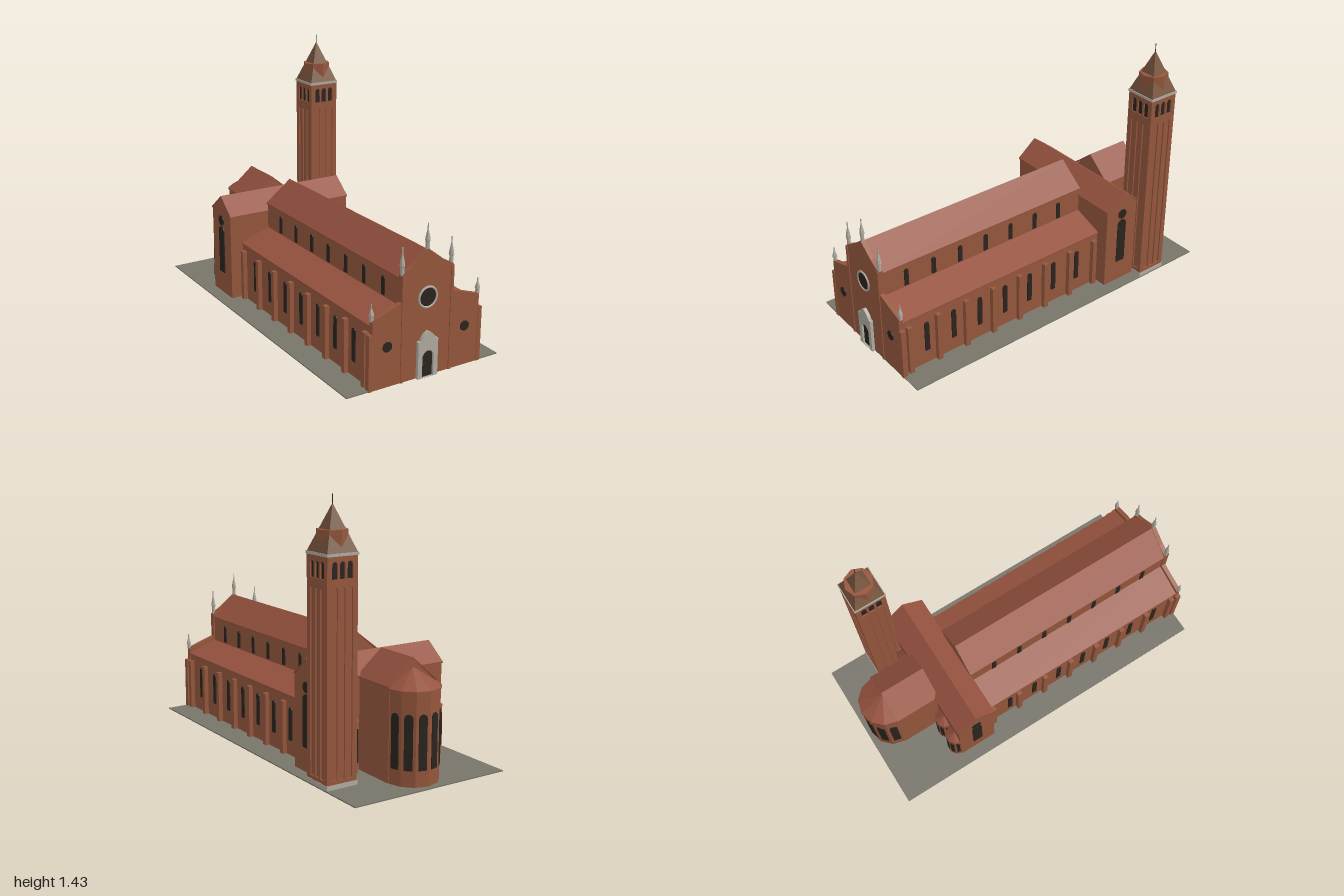
import * as THREE from 'three';

const mat = (color) => new THREE.MeshStandardMaterial({ color, flatShading: true, side: THREE.DoubleSide });

export function createModel() {
  const model = new THREE.Group();
  const brick = mat(0x96573d), roofTile = mat(0x96523f), dark = mat(0x2a241e);
  const stone = mat(0xb0aca2), paving = mat(0x77746a), spireTile = mat(0x79583f);

  const add = (name, geo, material, x = 0, y = 0, z = 0, parent = model, ry = 0) => {
    const m = new THREE.Mesh(geo, material);
    m.name = name;
    m.position.set(x, y, z);
    m.rotation.y = ry;
    parent.add(m);
    return m;
  };
  const box = (name, w, h, d, material, x, y0, z, parent) =>
    add(name, new THREE.BoxGeometry(w, h, d), material, x, y0 + h / 2, z, parent);
  const poly = (pts) => new THREE.Shape(pts.map(([x, y]) => new THREE.Vector2(x, y)));
  const extrude = (shape, depth) =>
    new THREE.ExtrudeGeometry(shape, { depth, bevelEnabled: false, curveSegments: 8 });
  // round-headed opening centred on cx
  const arch = (w, y0, y1, cx = 0, Type = THREE.Shape) => {
    const s = new Type(), r = w / 2;
    s.moveTo(cx - r, y0);
    s.lineTo(cx + r, y0);
    s.lineTo(cx + r, y1 - r);
    s.absarc(cx, y1 - r, r, 0, Math.PI, false);
    s.closePath();
    return s;
  };
  // gabled block along local z: walls plus a thin roof skin
  const gabled = (name, w, eave, ridge, length, x, z, ry = 0) => {
    const g = new THREE.Group();
    g.name = name;
    g.position.set(x, 0, z);
    g.rotation.y = ry;
    model.add(g);
    const t = 0.008, o = 0.008;
    add(name + 'Walls', extrude(poly([[-w, 0], [w, 0], [w, eave - t], [0, ridge - t], [-w, eave - t]]), length), brick, 0, 0, 0, g);
    add(name + 'Roof', extrude(poly([[-w - o, eave - t], [0, ridge - t], [w + o, eave - t], [w + o, eave], [0, ridge], [-w - o, eave]]), length + 0.004), roofTile, 0, 0, -0.002, g);
  };

  box('ground', 0.925, 0.006, 1.98, paving, -0.002, 0, -0.01);

  // Main volumes
  gabled('nave', 0.147, 0.55, 0.67, 1.33, 0, -0.36);
  gabled('transept', 0.112, 0.505, 0.6, 0.78, -0.39, -0.474, Math.PI / 2);
  gabled('choir', 0.144, 0.5, 0.628, 0.26, 0, -0.835);

  // Side aisles with buttresses and windows
  for (const s of [-1, 1]) {
    add('aisleWalls', extrude(poly([[s * 0.14, 0], [s * 0.315, 0], [s * 0.315, 0.33], [s * 0.14, 0.392]]), 1.33), brick, 0, 0, -0.36);
    add('aisleRoof', extrude(poly([[s * 0.145, 0.392], [s * 0.322, 0.329], [s * 0.322, 0.338], [s * 0.145, 0.402]]), 1.33), roofTile, 0, 0, -0.36);
    for (let i = 0; i < 8; i++) box('buttress', 0.03, 0.298, 0.028, brick, s * 0.325, 0, -0.326 + i * 0.179);
    for (let i = 0; i < 7; i++) {
      const z = -0.205 + i * 0.17;
      add('aisleWindow', extrude(arch(0.028, 0.09, 0.27), 0.008), dark, s * 0.313, 0, z, model, s * Math.PI / 2);
      add('clerestoryWindow', extrude(arch(0.026, 0.41, 0.51), 0.008), dark, s * 0.144, 0, z, model, s * Math.PI / 2);
    }
    // Transept end windows
    add('transeptWindow', extrude(arch(0.06, 0.135, 0.415), 0.01), dark, s * 0.385, 0, -0.474, model, s * Math.PI / 2);
    add('transeptOculus', new THREE.CylinderGeometry(0.029, 0.029, 0.01, 20).rotateZ(Math.PI / 2), dark, s * 0.39, 0.452, -0.474);
  }

  // Front wall with raised centre
  add('facade', extrude(poly([[-0.322, 0], [0.322, 0], [0.322, 0.37], [0.15, 0.428], [0.15, 0.57], [0.09, 0.605],
    [0, 0.675], [-0.09, 0.605], [-0.15, 0.57], [-0.15, 0.428], [-0.322, 0.37]]), 0.025), brick, 0, 0, 0.957);
  const disc = (name, r, depth, material, x, y) =>
    add(name, new THREE.CylinderGeometry(r, r, depth, 28).rotateX(Math.PI / 2), material, x, y, 0.982);
  add('roseFrame', new THREE.TorusGeometry(0.053, 0.006, 8, 32), stone, 0, 0.425, 0.984);
  disc('roseWindow', 0.052, 0.006, dark, 0, 0.425);

  const pinnacle = (x, y, h) => {
    const pts = [[0, 0], [0.09, 0], [0.09, 0.3], [0.12, 0.33], [0.1, 0.48], [0.03, 0.76], [0.025, 1], [0, 1]];
    add('pinnacle', new THREE.LatheGeometry(pts.map(([r, v]) => new THREE.Vector2(r * 0.115, v * h)), 8), stone, x, y, 0.969);
  };
  pinnacle(0, 0.67, 0.132);
  for (const s of [-1, 1]) {
    disc('facadeOculus', 0.027, 0.008, dark, s * 0.235, 0.216);
    box('facadePilaster', 0.016, 0.565, 0.032, brick, s * 0.147, 0, 0.971);
    box('facadeCornerPilaster', 0.022, 0.298, 0.03, brick, s * 0.331, 0, 0.97);
    pinnacle(s * 0.147, 0.565, 0.142);
    pinnacle(s * 0.321, 0.365, 0.09);
  }

  // Portal with a pointed crown
  const portal = new THREE.Shape();
  portal.moveTo(-0.06, 0);
  portal.lineTo(0.06, 0);
  portal.lineTo(0.06, 0.2);
  portal.lineTo(0.046, 0.203);
  portal.quadraticCurveTo(0.036, 0.23, 0, 0.25);
  portal.quadraticCurveTo(-0.036, 0.23, -0.046, 0.203);
  portal.lineTo(-0.06, 0.2);
  portal.closePath();
  portal.holes.push(arch(0.068, 0.001, 0.145, 0, THREE.Path));
  add('portal', extrude(portal, 0.02), stone, 0, 0, 0.98);
  add('door', extrude(arch(0.07, 0, 0.146), 0.008), dark, 0, 0, 0.98);

  // Half-round apses facing the back
  const apse = (name, x, z, r, eave, apex, sides, win) => {
    const g = new THREE.Group();
    g.name = name;
    g.position.set(x, 0, z);
    model.add(g);
    const half = [sides, 1, true, Math.PI / 2, Math.PI];
    add(name + 'Wall', new THREE.CylinderGeometry(r, r, eave, ...half), brick, 0, eave / 2, 0, g);
    add(name + 'Roof', new THREE.CylinderGeometry(0.001, r * 1.04, apex - eave, ...half), roofTile, 0, (apex + eave) / 2, 0, g);
    add(name + 'Eave', new THREE.CylinderGeometry(r * 1.04, r * 1.04, 0.012, ...half), brick, 0, eave - 0.006, 0, g);
    const inner = r * Math.cos(Math.PI / sides / 2) - 0.003;
    for (let i = 0; i < sides; i++) {
      const a = Math.PI / 2 + (i + 0.5) * Math.PI / sides;
      add(name + 'Window', extrude(arch(win.w, win.y0, win.y1), 0.007), dark, Math.sin(a) * inner, 0, Math.cos(a) * inner, g, a);
    }
  };
  apse('apse', 0, -0.834, 0.141, 0.49, 0.58, 6, { w: 0.044, y0: 0.09, y1: 0.375 });
  for (const x of [-0.33, -0.215, 0.215, 0.33])
    apse('chapel', x, -0.584, 0.055, 0.28, 0.33, 5, { w: 0.02, y0: 0.06, y1: 0.24 });

  // Bell tower
  const tower = new THREE.Group();
  tower.name = 'bellTower';
  tower.position.set(0.368, 0, -0.67);
  model.add(tower);
  box('towerBase', 0.182, 0.03, 0.182, stone, 0, 0, 0, tower);
  box('towerShaft', 0.16, 1.02, 0.16, brick, 0, 0, 0, tower);
  box('belfryInterior', 0.16, 0.13, 0.16, dark, 0, 1.02, 0, tower);
  // each face: three tall blind arches below three open ones
  const face = poly([[-0.088, 0.03], [0.088, 0.03], [0.088, 1.15], [-0.088, 1.15]]);
  for (const x of [-0.044, 0, 0.044]) {
    face.holes.push(arch(0.032, 0.05, 1.0, x, THREE.Path), arch(0.032, 1.038, 1.122, x, THREE.Path));
  }
  for (let i = 0; i < 4; i++) {
    const a = i * Math.PI / 2;
    add('towerFace', extrude(face, 0.009), brick, Math.sin(a) * 0.079, 0, Math.cos(a) * 0.079, tower, a);
  }
  box('towerCornice', 0.184, 0.014, 0.184, stone, 0, 1.147, 0, tower);
  add('spire', new THREE.ConeGeometry(0.088 * Math.SQRT2, 0.23, 4).rotateY(Math.PI / 4), spireTile, 0, 1.275, 0, tower);
  add('spireDrum', new THREE.CylinderGeometry(0.078, 0.078, 0.11, 8), brick, 0, 1.213, 0, tower);
  add('finial', new THREE.CylinderGeometry(0.002, 0.002, 0.06, 6), dark, 0, 1.402, 0, tower);

  return model;
}
